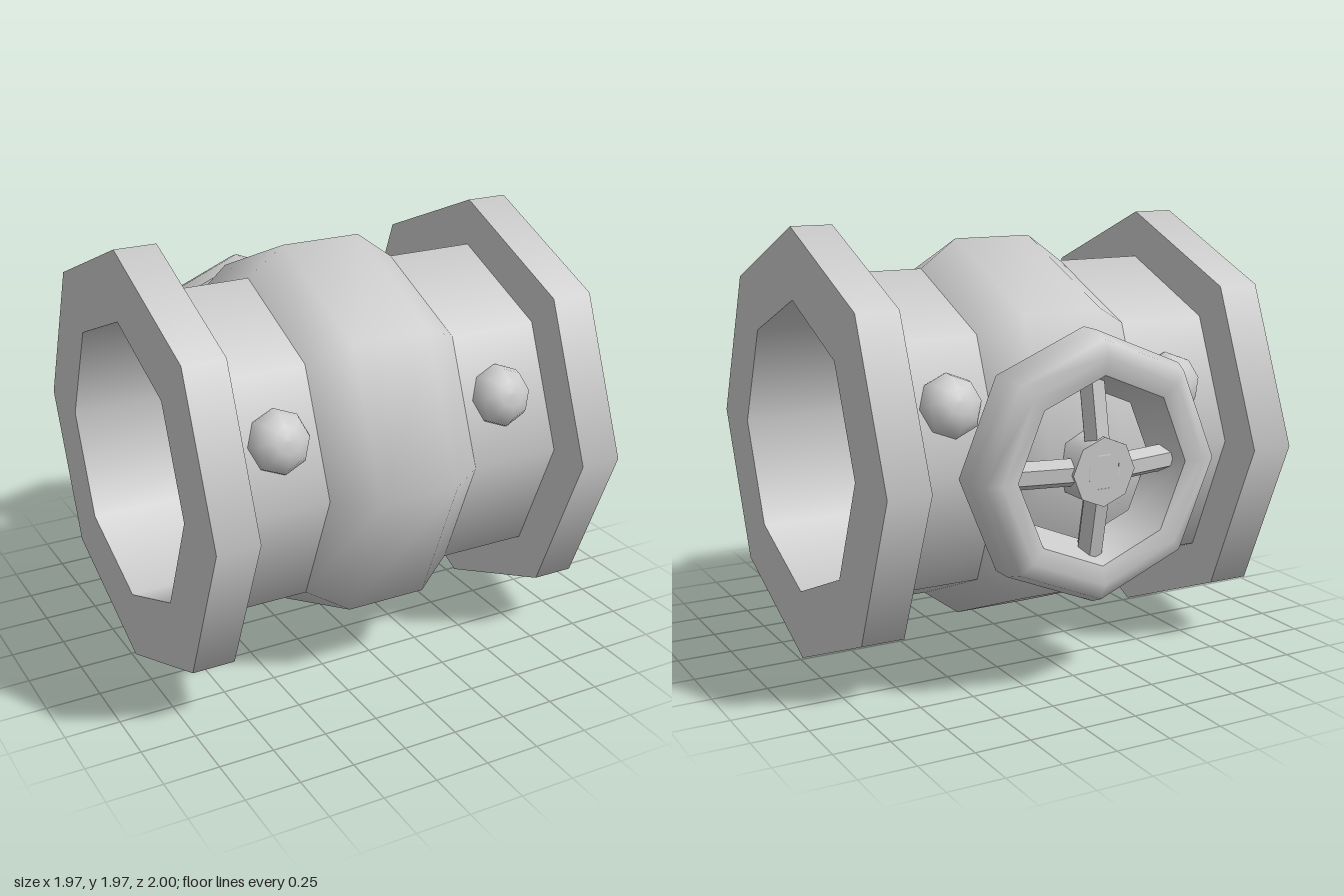
import * as THREE from 'three';
import { mergeGeometries } from 'three/addons/utils/BufferGeometryUtils.js';

const SIDES = 8;
const CY = 0.985, CZ = 0.015; // pipe axis
const material = new THREE.MeshStandardMaterial({ color: 0xcccccc });

// Eight-sided lathe; every run of [radius, height] points is smooth, with sharp edges between runs
function turned(name, ...runs) {
  const parts = runs.map((run) =>
    new THREE.LatheGeometry(run.map(([r, h]) => new THREE.Vector2(r, h)), SIDES));
  const mesh = new THREE.Mesh(mergeGeometries(parts), material);
  mesh.name = name;
  return mesh;
}

export function createModel() {
  const model = new THREE.Group();
  model.name = 'pipeValve';

  // Pipe body, lying along x
  const body = new THREE.Group();
  body.name = 'pipeBody';
  body.position.set(0, CY, CZ);
  model.add(body);

  const pipe = turned('pipe',
    [[0.77, -0.8], [0.77, 0.8]],
    [[0.665, 0.985], [0.665, -0.985]]);
  const bulge = turned('valveBulge',
    [[0.77, -0.365], [0.898, -0.19], [0.898, 0.19], [0.77, 0.365]]);
  for (const part of [pipe, bulge]) {
    part.rotation.z = -Math.PI / 2;
    body.add(part);
  }

  for (const side of [-1, 1]) {
    // End flanges
    const flange = turned(side > 0 ? 'leftFlange' : 'rightFlange',
      [[0.77, 0.79], [0.985, 0.79]],
      [[0.985, 0.79], [0.985, 0.985]],
      [[0.985, 0.985], [0.665, 0.985]]);
    flange.rotation.z = -side * Math.PI / 2;
    body.add(flange);

    // Domed rivets on the upper front and back facets of the pipe
    for (const face of [-1, 1]) {
      const rivet = turned('rivet',
        [[0.14, -0.02], [0.14, 0.02], [0.115, 0.07], [0.06, 0.1], [0, 0.105]]);
      const tilt = Math.PI / 8, apothem = 0.77 * Math.cos(tilt);
      rivet.position.set(side * 0.55, apothem * Math.sin(tilt), face * apothem * Math.cos(tilt));
      rivet.rotation.x = face * (Math.PI / 2 - tilt);
      body.add(rivet);
    }
  }

  // Hand wheel on the back; its local y points to the rear
  const wheel = new THREE.Group();
  wheel.name = 'handWheel';
  wheel.position.y = CY;
  wheel.rotation.x = -Math.PI / 2;
  model.add(wheel);

  wheel.add(turned('wheelRim',
    [[0.34, 0.8], [0.59, 0.8]],
    [[0.59, 0.8], [0.59, 0.9], [0.56, 0.97], [0.49, 1.0], [0.41, 0.98]],
    [[0.41, 0.98], [0.34, 0.8]]));
  wheel.add(turned('wheelHub',
    [[0.15, 0.75], [0.15, 0.98]],
    [[0.15, 0.98], [0, 0.98]]));

  // Spokes slope from the hub down to the rim
  const start = new THREE.Vector3(0.06, 0.93, 0);
  const end = new THREE.Vector3(0.42, 0.86, 0);
  const direction = end.clone().sub(start);
  for (let i = 0; i < 4; i++) {
    const pivot = new THREE.Group();
    pivot.name = 'spokePivot';
    pivot.rotation.y = i * Math.PI / 2;
    const spoke = new THREE.Mesh(
      new THREE.CylinderGeometry(0.06, 0.06, direction.length(), 6).toNonIndexed(), material);
    spoke.geometry.computeVertexNormals();
    spoke.name = 'spoke';
    spoke.position.copy(start).add(end).multiplyScalar(0.5);
    spoke.quaternion.setFromUnitVectors(new THREE.Vector3(0, 1, 0), direction.clone().normalize());
    pivot.add(spoke);
    wheel.add(pivot);
  }

  return model;
}
